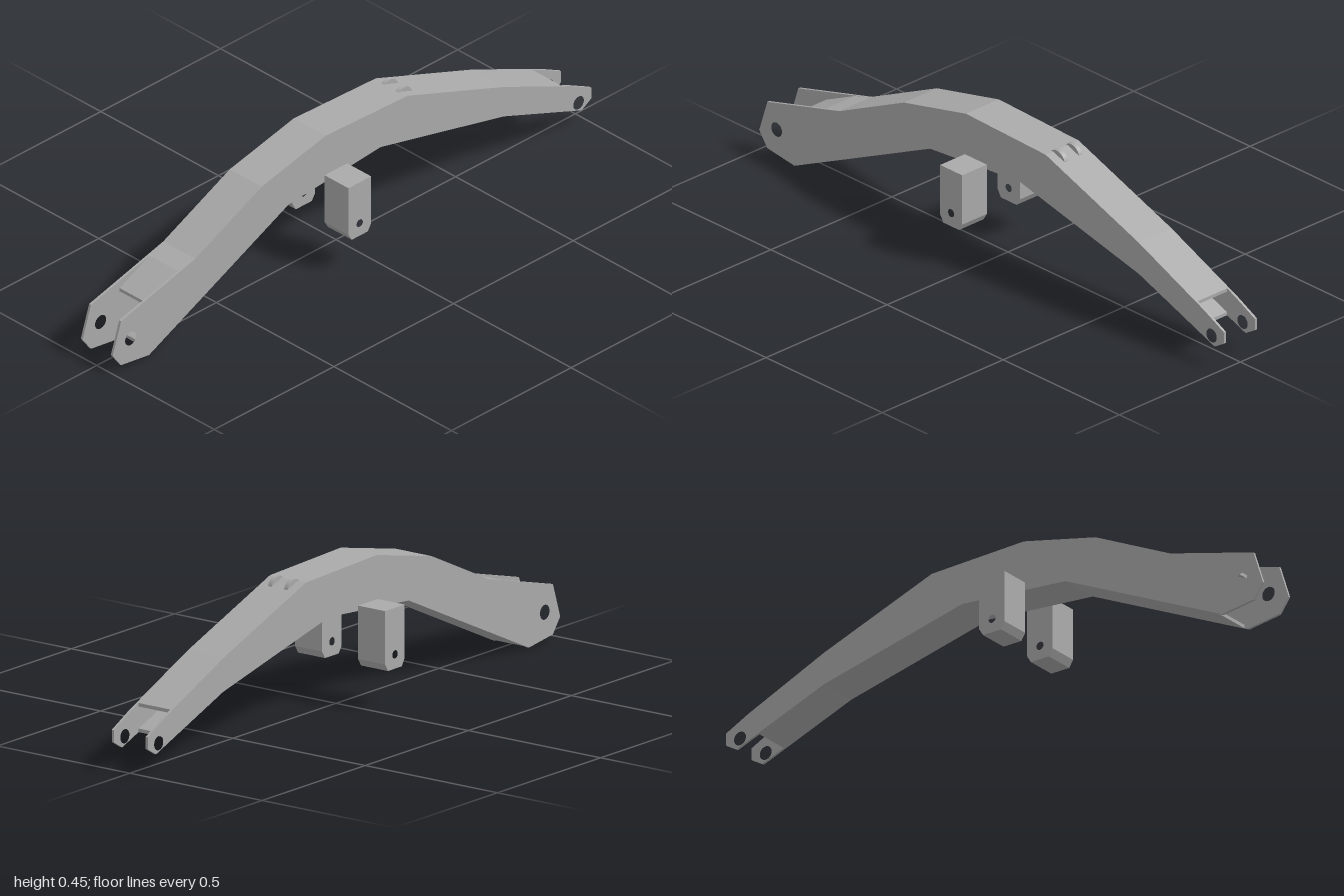
import * as THREE from 'three';

const steel = new THREE.MeshStandardMaterial({ color: 0xaaaaaa });
steel.name = 'grey steel';

const HALF = 0.068;  // half the width of the arm
const PLATE = 0.008; // side plate thickness
const SKIN = 0.011;  // top and bottom plate thickness

// Upper and lower edges of the arm, from the wide end to the narrow end
const upperEdge = [[-0.655, 0.257], [-0.377, 0.388], [-0.11, 0.449], [0.233, 0.438], [0.634, 0.291]];
const lowerEdge = [[-0.265, 0.275], [0.12, 0.307], [0.634, 0.187]];

// Extrudes an outline with round holes [x, y, r] from z0 to z1
function slab(name, points, z0, z1, holes = []) {
  const shape = new THREE.Shape(points.map(([x, y]) => new THREE.Vector2(x, y)));
  for (const [x, y, r] of holes) {
    shape.holes.push(new THREE.Path().absarc(x, y, r, 0, Math.PI * 2, true));
  }
  const geometry = new THREE.ExtrudeGeometry(shape, { depth: z1 - z0, bevelEnabled: false, curveSegments: 16 });
  geometry.translate(0, 0, z0);
  const mesh = new THREE.Mesh(geometry, steel);
  mesh.name = name;
  return mesh;
}

// Bent plate between the side plates, following a line and thickened by dy
function bentPlate(name, line, dy) {
  const other = line.map(([x, y]) => [x, y + dy]).reverse();
  return slab(name, [...line, ...other], -HALF + PLATE, HALF - PLATE);
}

export function createModel() {
  const arm = new THREE.Group();
  arm.name = 'loaderArm';

  const sideOutline = [
    [-1, 0.067], [-0.965, 0.174], ...upperEdge,
    [0.917, 0.168], [1, 0.126], [1, 0.088], [0.96, 0.064],
    ...[...lowerEdge].reverse(), [-0.848, 0.003], [-0.965, 0.019],
  ];
  const pinHoles = [[-0.925, 0.096, 0.023], [0.947, 0.096, 0.022]];

  // Bracket with clipped lower corners
  const bracketOutline = [
    [-0.115, 0.312], [-0.02, 0.312], [-0.02, 0.147], [-0.034, 0.124], [-0.101, 0.124], [-0.115, 0.147],
  ];

  for (const [side, s] of [['left', 1], ['right', -1]]) {
    // Here left is the front (+z) plate and right the back one
    const label = side === 'left' ? 'front' : 'back';
    const span = (a, b) => (s > 0 ? [a, b] : [-b, -a]);
    arm.add(slab(label + 'SidePlate', sideOutline, ...span(HALF - PLATE, HALF), pinHoles));
    arm.add(slab(label + 'Bracket', bracketOutline, ...span(HALF, 0.17), [[-0.068, 0.168, 0.013]]));

    // Small round lug on the top plate
    const lug = new THREE.Mesh(new THREE.CylinderGeometry(0.035, 0.035, 0.014, 24), steel);
    lug.rotation.x = Math.PI / 2;
    lug.position.set(0.248, 0.412, 0.03 * s);
    lug.name = label + 'HoseLug';
    arm.add(lug);
  }

  // Top plate dips between the side plates at the wide end; the tube ends stay open
  arm.add(bentPlate('topPlate', [[-0.845, 0.18], [-0.72, 0.239], ...upperEdge, [0.88, 0.184]], -SKIN));
  arm.add(bentPlate('bottomPlate', [[-0.835, 0.009], ...lowerEdge, [0.88, 0.094]], SKIN));

  return arm;
}
